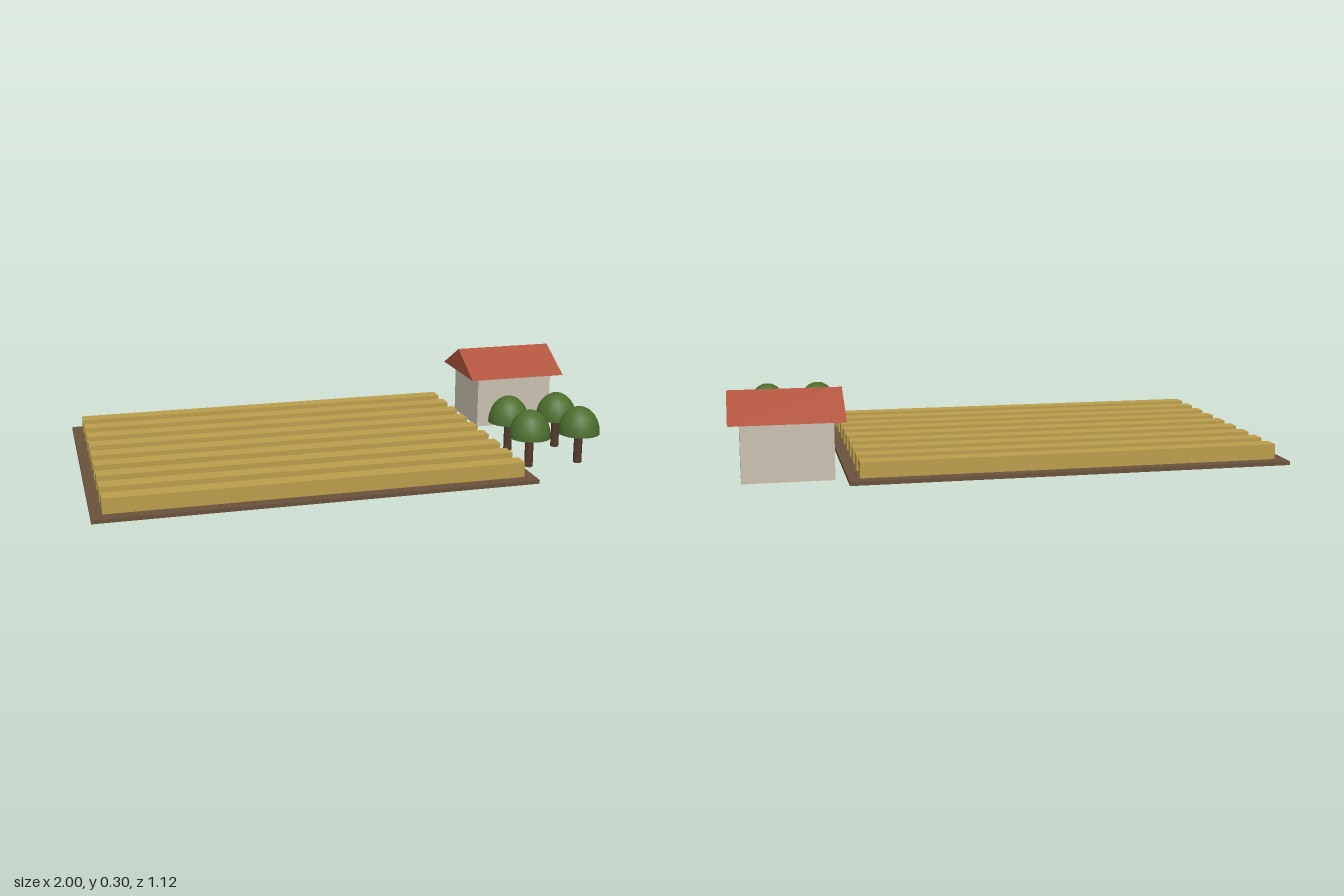
import * as THREE from 'three';

const mat = (name, color) => Object.assign(new THREE.MeshStandardMaterial({ color }), { name });

export function createModel() {
  const soil = mat('soil brown', 0x6b523c);
  const crop = mat('crop gold', 0xbd9f4c);
  const wall = mat('plaster', 0xcbc3b2);
  const tile = mat('roof red', 0xb0543e);
  const bark = mat('bark', 0x553e2e);
  const leaf = mat('leaf green', 0x4c6e2e);

  const model = new THREE.Group();
  model.name = 'farm';
  const add = (parent, name, geometry, material, x, y, z) => {
    const mesh = new THREE.Mesh(geometry, material);
    mesh.name = name;
    mesh.position.set(x, y, z);
    parent.add(mesh);
    return mesh;
  };

  // Field slab with nine crop rows
  add(model, 'field', new THREE.BoxGeometry(1.6, 0.014, 1.115), soil, -0.2, 0.007, 0);
  const rowGeometry = new THREE.BoxGeometry(1.52, 0.06, 0.062);
  for (let i = 0; i < 9; i++) {
    add(model, 'cropRow', rowGeometry, crop, -0.2, 0.04, (i - 4) * 0.12);
  }

  // House: box walls under a solid gable roof with its ridge along x
  const house = new THREE.Group();
  house.name = 'house';
  house.position.set(0.8, 0, -0.32);
  model.add(house);
  add(house, 'walls', new THREE.BoxGeometry(0.32, 0.208, 0.275), wall, 0, 0.104, 0);
  const gable = new THREE.Shape([
    new THREE.Vector2(-0.176, 0),
    new THREE.Vector2(0.176, 0),
    new THREE.Vector2(0, 0.096),
  ]);
  const roofGeometry = new THREE.ExtrudeGeometry(gable, { depth: 0.4, bevelEnabled: false });
  roofGeometry.translate(0, 0, -0.2).rotateY(Math.PI / 2);
  add(house, 'roof', roofGeometry, tile, 0, 0.208, 0);

  // Four trees: straight trunk, tall domed canopy closed underneath
  const trunkGeometry = new THREE.CylinderGeometry(0.016, 0.016, 0.12, 6);
  const domeGeometry = new THREE.SphereGeometry(0.079, 20, 6, 0, Math.PI * 2, 0, Math.PI / 2);
  domeGeometry.scale(1, 1.3, 1);
  const baseGeometry = new THREE.CircleGeometry(0.079, 20).rotateX(Math.PI / 2);
  for (const x of [0.64, 0.84]) {
    for (const z of [0.15, 0.36]) {
      const tree = new THREE.Group();
      tree.name = 'tree';
      tree.position.set(x, 0, z);
      model.add(tree);
      add(tree, 'trunk', trunkGeometry, bark, 0, 0.06, 0);
      add(tree, 'canopy', domeGeometry, leaf, 0, 0.117, 0);
      add(tree, 'canopyBase', baseGeometry, leaf, 0, 0.117, 0);
    }
  }
  return model;
}
